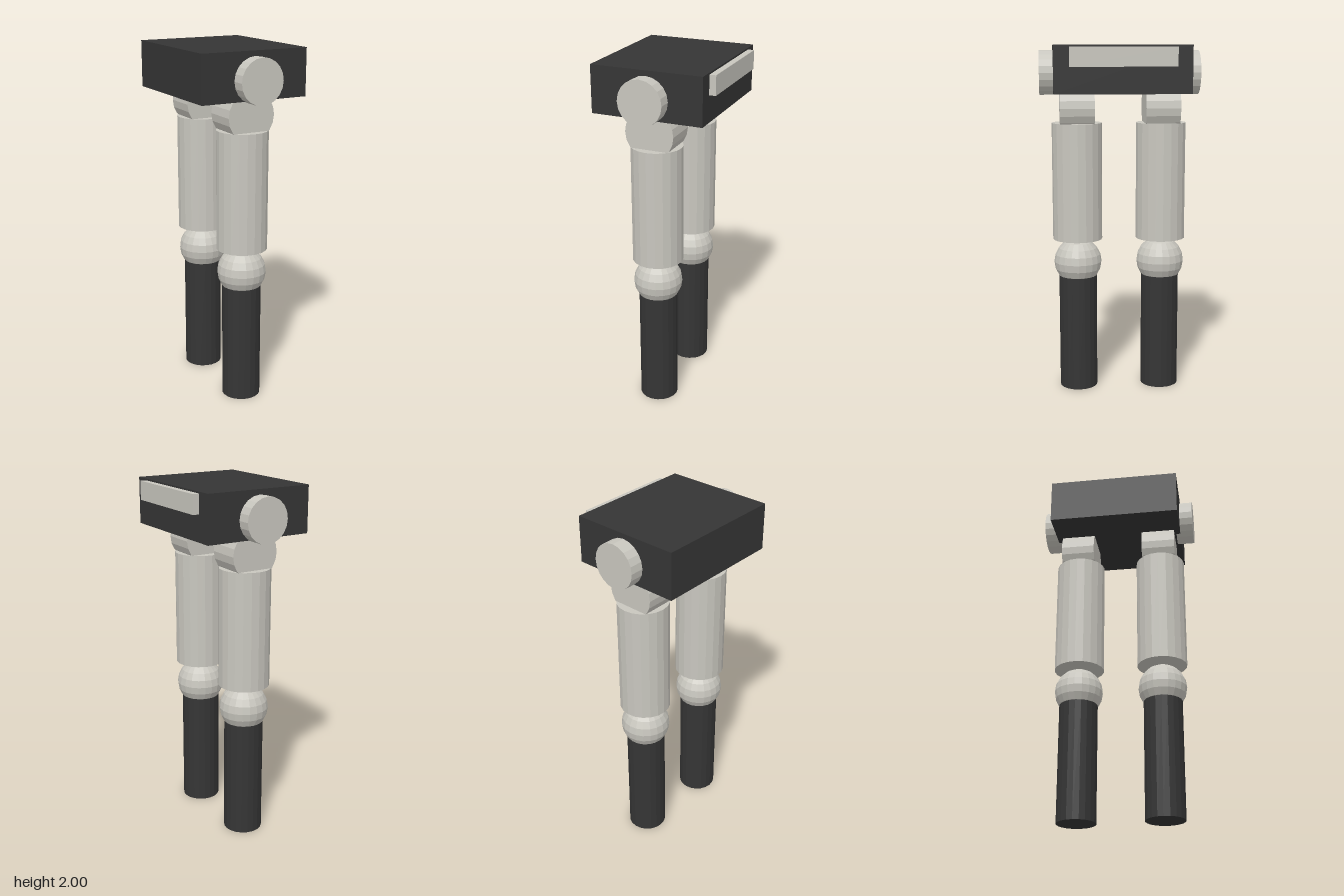
import * as THREE from 'three';

export function createModel() {
  const model = new THREE.Group();
  const light = new THREE.MeshStandardMaterial({ color: 0xc8c6be });
  light.name = 'pale grey';
  light.flatShading = true;
  const dark = new THREE.MeshStandardMaterial({ color: 0x353535 });
  dark.name = 'charcoal';
  dark.flatShading = true;

  const AXIS_X = -0.018; // shared centre line of hips and legs
  const SIDES = 20;

  function add(parent, name, geometry, material, x, y, z) {
    const mesh = new THREE.Mesh(geometry, material);
    mesh.name = name;
    mesh.position.set(x, y, z);
    parent.add(mesh);
  }

  // Upright or z-facing cylinder
  const upright = (r, h) => new THREE.CylinderGeometry(r, r, h, SIDES);
  const acrossZ = (r, h) => upright(r, h).rotateX(Math.PI / 2);

  // Pelvis block with a raised plate on its +x face
  add(model, 'pelvis', new THREE.BoxGeometry(0.624, 0.26, 0.746), dark, AXIS_X, 1.87, 0);
  add(model, 'beltPlate', new THREE.BoxGeometry(0.037, 0.105, 0.576), light, 0.3115, 1.938, 0);

  for (const side of [1, -1]) {
    const leg = new THREE.Group();
    leg.name = side > 0 ? 'frontLeg' : 'backLeg';
    const z = side * 0.241;
    // Round cap on the outer face of the pelvis
    add(leg, 'hipCap', acrossZ(0.124, 0.1), light, AXIS_X, 1.848, side * 0.4);
    // Hip joint, thigh, knee and shin
    add(leg, 'hipJoint', acrossZ(0.138, 0.194), light, AXIS_X, 1.652, z);
    add(leg, 'thigh', upright(0.143, 0.672), light, AXIS_X, 1.23, z);
    add(leg, 'knee', new THREE.SphereGeometry(0.138, SIDES, 10), light, AXIS_X, 0.758, z);
    add(leg, 'shin', upright(0.11, 0.676), dark, AXIS_X, 0.338, z);
    model.add(leg);
  }
  return model;
}
